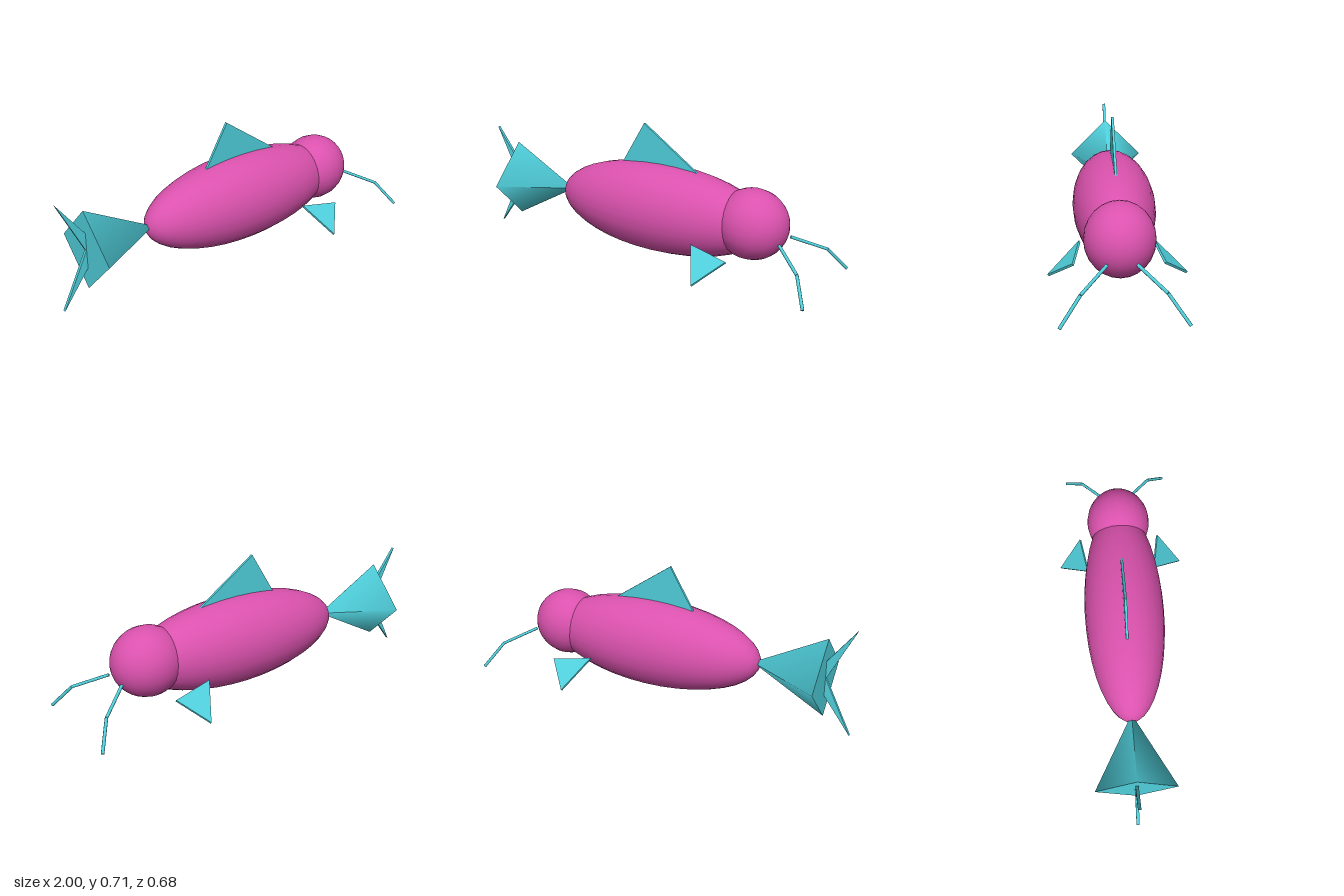
import * as THREE from 'three';
import { ConvexGeometry } from 'three/addons/geometries/ConvexGeometry.js';

const V = (x, y, z) => new THREE.Vector3(x, y, z);

export function createModel() {
  const fish = new THREE.Group();
  fish.name = 'fish';
  const skin = new THREE.MeshStandardMaterial({ name: 'magenta skin', color: 0xdb52ae });
  const finColor = new THREE.MeshStandardMaterial({ name: 'cyan fin', color: 0x4fcfdb });

  const add = (name, geometry, material, parent = fish) => {
    const mesh = new THREE.Mesh(geometry, material);
    mesh.name = name;
    parent.add(mesh);
    return mesh;
  };

  // Ellipsoid with its poles along x
  const ellipsoid = (rx, ry, rz) =>
    new THREE.SphereGeometry(1, 24, 20).rotateZ(Math.PI / 2).scale(rx, ry, rz);

  // Thin triangular plate through three points
  const plate = (a, b, c, thickness) => {
    const n = new THREE.Triangle(a, b, c).getNormal(V(0, 0, 0)).multiplyScalar(thickness / 2);
    return new ConvexGeometry([a, b, c].flatMap(p => [p.clone().add(n), p.clone().sub(n)]));
  };

  // Straight rod between two points
  const rod = (a, b, radius) => {
    const d = b.clone().sub(a);
    const g = new THREE.CylinderGeometry(radius, radius, d.length(), 8);
    g.applyQuaternion(new THREE.Quaternion().setFromUnitVectors(V(0, 1, 0), d.clone().normalize()));
    const m = a.clone().add(b).multiplyScalar(0.5);
    return g.translate(m.x, m.y, m.z);
  };

  // Body and head
  add('body', ellipsoid(0.6, 0.233, 0.21), skin).position.set(0.08, 0.283, 0);
  add('head', ellipsoid(0.185, 0.178, 0.168), skin).position.set(0.6, 0.295, 0);

  // Four-sided tail, widening backward
  const tail = new THREE.ConeGeometry(0.208, 0.38, 4).rotateZ(-Math.PI / 2);
  add('tail', tail, finColor).position.set(-0.67, 0.285, 0);

  // Forked fin at the tail end
  const fork = new THREE.Shape([[-0.79, 0.286], [-1, 0.565], [-0.862, 0.286], [-1, 0.005]]
    .map(([x, y]) => new THREE.Vector2(x, y)));
  const forkGeometry = new THREE.ExtrudeGeometry(fork, { depth: 0.016, bevelEnabled: false });
  add('tailFork', forkGeometry.translate(0, 0, -0.008), finColor);

  // Fin on the back
  add('dorsalFin', plate(V(-0.15, 0.495, 0), V(0.29, 0.5, 0), V(-0.02, 0.715, 0), 0.013), finColor);

  // Paired side fins and whiskers
  for (const [side, s] of [['right', 1], ['left', -1]]) {
    add(side + 'SideFin', plate(V(0.36, 0.193, s * 0.18), V(0.57, 0.16, s * 0.215),
      V(0.45, 0.056, s * 0.335), 0.012), finColor);

    const whisker = new THREE.Group();
    whisker.name = side + 'Whisker';
    const root = V(0.775, 0.24, s * 0.068);
    const knee = V(0.92, 0.167, s * 0.188);
    const tip = V(0.993, 0.048, s * 0.28);
    add('whiskerBase', rod(root, knee, 0.008), finColor, whisker);
    add('whiskerTip', rod(knee, tip, 0.008), finColor, whisker);
    fish.add(whisker);
  }
  return fish;
}
